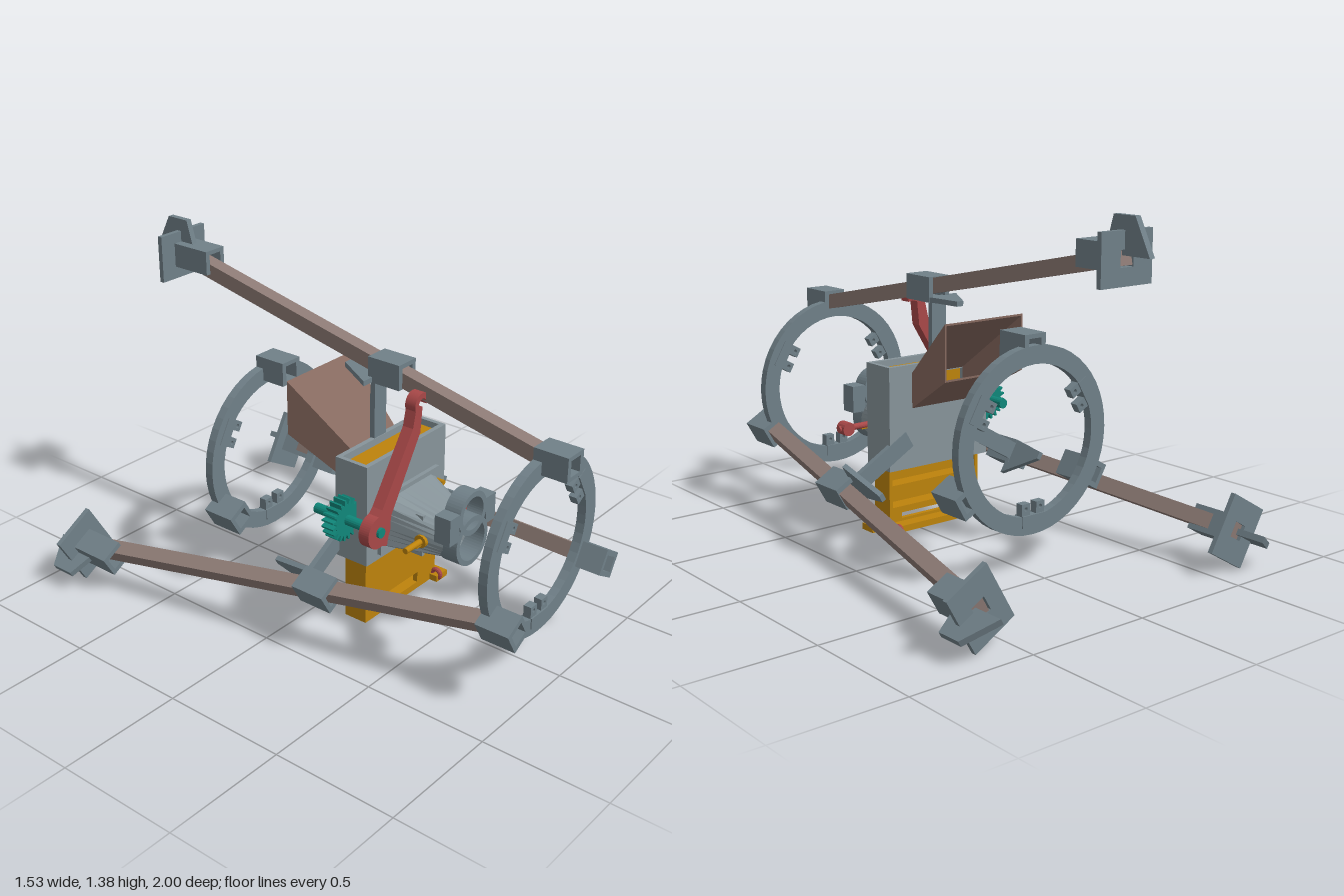
import * as THREE from 'three';

const AXIS = 0.515; // height of the central axis
const mat = (color) => new THREE.MeshStandardMaterial({ color, flatShading: true, side: THREE.DoubleSide });
const steel = mat(0x708088), panel = mat(0x87949a), wood = mat(0x8d7b75), brown = mat(0x86695f);
const red = mat(0xa84848), orange = mat(0xbd830c), green = mat(0x10877a);

function add(parent, name, geo, material) {
  const m = new THREE.Mesh(geo, material);
  m.name = name;
  parent.add(m);
  return m;
}

// Box given by its limits on each axis
function box(parent, name, material, x0, x1, y0, y1, z0, z1) {
  const m = add(parent, name, new THREE.BoxGeometry(x1 - x0, y1 - y0, z1 - z0), material);
  m.position.set((x0 + x1) / 2, (y0 + y1) / 2, (z0 + z1) / 2);
  return m;
}

const poly = (pts) => new THREE.Shape(pts.map(([x, y]) => new THREE.Vector2(x, y)));
const rect = (x0, x1, y0, y1) => poly([[x0, y0], [x1, y0], [x1, y1], [x0, y1]]);

// Shape in xy with holes, extruded from z0 to z1
function slab(parent, name, material, shape, holes, z0, z1) {
  shape.holes.push(...holes);
  const geo = new THREE.ExtrudeGeometry(shape, { depth: z1 - z0, bevelEnabled: false, curveSegments: 24 });
  geo.translate(0, 0, z0);
  return add(parent, name, geo, material);
}

const disc = (x, y, r) => new THREE.Shape().absarc(x, y, r, 0, Math.PI * 2, false);
const tube = (parent, name, material, x, y, rOut, rIn, z0, z1) =>
  slab(parent, name, material, disc(x, y, rOut), [disc(x, y, rIn)], z0, z1);

// Cylinder along one axis
function rod(parent, name, material, r, length, axis, x, y, z) {
  const geo = new THREE.CylinderGeometry(r, r, length, 16);
  if (axis === 'x') geo.rotateZ(Math.PI / 2);
  if (axis === 'z') geo.rotateX(Math.PI / 2);
  add(parent, name, geo, material).position.set(x, y, z);
}

// Open skin between two loops with equal point counts
function loft(parent, name, material, a, b) {
  const n = a.length, index = [];
  for (let i = 0; i < n; i++) {
    const j = (i + 1) % n;
    index.push(i, j, n + j, i, n + j, n + i);
  }
  const geo = new THREE.BufferGeometry().setFromPoints([...a, ...b].map((p) => new THREE.Vector3(...p)));
  geo.setIndex(index);
  geo.computeVertexNormals();
  add(parent, name, geo, material);
}

// Three copies around the central axis
function radial(parent, name, build, offset = 0) {
  for (let i = 0; i < 3; i++) {
    const g = new THREE.Group();
    g.name = name;
    g.position.y = AXIS;
    g.rotation.z = offset + (i * Math.PI * 2) / 3;
    build(g);
    parent.add(g);
  }
}

// Square sleeve around a leg
const sleeve = (g, name, r0, r1, z0, z1) =>
  slab(g, name, steel, rect(-0.05, 0.05, r0, r1),
    [rect(-0.03, 0.03, (r0 + r1) / 2 - 0.032, (r0 + r1) / 2 + 0.032)], z0, z1);

function leg(g) {
  // Sloping square rod
  const z0 = 0.93, z1 = -0.875, r0 = 0.34, r1 = 0.725;
  const bar = add(g, 'legRod', new THREE.BoxGeometry(0.06, 0.06, Math.hypot(z0 - z1, r1 - r0)), wood);
  bar.position.set(0, (r0 + r1) / 2, (z0 + z1) / 2);
  bar.rotation.x = Math.atan2(r1 - r0, z0 - z1);
  // Middle sleeve, strut to the body and triangular gusset
  sleeve(g, 'middleSleeve', 0.445, 0.545, 0.13, 0.275);
  box(g, 'strut', steel, -0.035, 0.035, 0.17, 0.46, 0.13, 0.152);
  const gusset = slab(g, 'gusset', steel, poly([[-0.1, 0.15], [0.05, 0.15], [0.03, -0.02], [0, -0.02]]), [], -0.467, -0.447);
  gusset.rotation.x = Math.PI / 2;
  // Foot: sleeve, plate and fin
  sleeve(g, 'footSleeve', 0.675, 0.772, -0.865, -0.69);
  slab(g, 'footPlate', steel, rect(-0.12, 0.12, 0.625, 0.815), [rect(-0.03, 0.03, 0.69, 0.75)], -0.885, -0.865);
  const fin = slab(g, 'footFin', steel, poly([[0.79, 0.73], [1, 0.73], [0.93, 0.865], [0.83, 0.865]]), [], -0.012, 0.012);
  fin.rotation.y = Math.PI / 2;
}

function ringFrame(parent, name, z) {
  const g = new THREE.Group();
  g.name = name;
  g.position.z = z;
  tube(g, 'ring', steel, 0, AXIS, 0.357, 0.288, 0, 0.036);
  radial(g, 'ringBlock', (b) => sleeve(b, 'ringSleeve', 0.303, 0.4, 0, 0.14));
  // Small forked clamps between the blocks
  radial(g, 'ringClamp', (c) => {
    box(c, 'clampBase', steel, -0.055, 0.055, 0.28, 0.325, -0.004, 0.04);
    for (const s of [-1, 1]) {
      slab(c, 'clampProng', steel, rect(s * 0.035 - 0.02, s * 0.035 + 0.02, 0.235, 0.285),
        [disc(s * 0.035, 0.255, 0.008)], 0.002, 0.034);
    }
  }, Math.PI / 3);
  parent.add(g);
}

function body(parent) {
  const g = new THREE.Group();
  g.name = 'body';
  // Shell, open at top
  slab(g, 'frontPanel', panel, rect(-0.245, 0.24, 0.31, 0.725), [], 0.265, 0.285);
  slab(g, 'backPanel', panel, rect(-0.245, 0.24, 0.31, 0.725), [rect(-0.125, 0.125, 0.56, 0.68)], 0.135, 0.155);
  box(g, 'rightWall', panel, -0.245, -0.227, 0.31, 0.725, 0.155, 0.265);
  box(g, 'leftWall', panel, 0.222, 0.24, 0.31, 0.725, 0.155, 0.265);
  box(g, 'innerTray', orange, -0.222, 0.22, 0.32, 0.70, 0.16, 0.26);
  // Nozzle narrowing from a rectangle to a tube
  slab(g, 'nozzleFlange', panel, rect(-0.18, 0.18, 0.335, 0.575), [rect(-0.15, 0.15, 0.36, 0.54)], 0.285, 0.302);
  const wide = [], narrow = [];
  for (let i = 0; i < 32; i++) {
    const a = ((i + 0.5) / 32) * Math.PI * 2, c = Math.cos(a), s = Math.sin(a), k = 1 / Math.max(Math.abs(c), Math.abs(s));
    wide.push([0.16 * c * k, 0.455 + 0.105 * s * k, 0.29]);
    narrow.push([0.1 * c, 0.425 + 0.085 * s, 0.53]);
  }
  loft(g, 'nozzle', panel, wide, narrow);
  // Double collar at the muzzle with side lugs
  tube(g, 'lowerCollar', steel, 0, 0.425, 0.1, 0.08, 0.51, 0.59);
  tube(g, 'upperCollar', steel, 0, 0.54, 0.088, 0.066, 0.52, 0.59);
  for (const s of [-1, 1]) {
    box(g, 'collarLug', steel, s * 0.115 - 0.03, s * 0.115 + 0.03, 0.46, 0.57, 0.52, 0.59);
    rod(g, 'flangePin', orange, 0.01, 0.05, 'z', s * 0.17, 0.515, 0.31);
    box(g, 'nozzleRib', panel, s * 0.1 - 0.008, s * 0.1 + 0.008, 0.35, 0.52, 0.29, 0.44);
  }
  // Side screws
  rod(g, 'rightScrew', orange, 0.012, 0.14, 'x', -0.15, 0.425, 0.445);
  rod(g, 'rightScrewHead', orange, 0.026, 0.03, 'x', -0.115, 0.425, 0.445);
  rod(g, 'leftScrew', red, 0.013, 0.17, 'x', 0.185, 0.425, 0.445);
  rod(g, 'leftScrewKnob', red, 0.028, 0.05, 'z', 0.235, 0.425, 0.445);
  box(g, 'latch', orange, -0.16, 0.16, 0.41, 0.425, 0.437, 0.453);
  // Rear hopper, flaring upward and back
  const mouth = (w, y0, y1, z) => [[-w, y0, z], [w, y0, z], [w, y1, z], [-w, y1, z]];
  loft(g, 'hopper', brown, mouth(0.13, 0.55, 0.69, 0.137), mouth(0.19, 0.71, 0.93, -0.148));
  loft(g, 'hopperLining', brown, mouth(0.122, 0.558, 0.682, 0.137), mouth(0.182, 0.718, 0.922, -0.148));
  loft(g, 'hopperRim', brown, mouth(0.19, 0.71, 0.93, -0.148), mouth(0.182, 0.718, 0.922, -0.148));
  parent.add(g);
}

function magazine(parent) {
  const g = new THREE.Group();
  g.name = 'magazine';
  slab(g, 'magazineFront', orange, rect(-0.225, 0.222, 0.042, 0.33), [rect(-0.11, 0.105, 0.07, 0.115)], 0.245, 0.265);
  for (const x of [-0.225, 0.207]) box(g, 'magazineSide', orange, x, x + 0.015, 0.042, 0.33, 0.165, 0.25);
  for (const y of [0.042, 0.13, 0.22]) box(g, 'magazineShelf', orange, -0.215, 0.215, y, y + 0.016, 0.18, 0.25);
  for (const y of [0.042, 0.125, 0.215, 0.305]) box(g, 'magazineRail', orange, -0.225, 0.222, y, y + 0.026, 0.165, 0.18);
  // Corner lug and pull eyelets
  box(g, 'cornerLug', orange, 0.19, 0.26, 0.042, 0.068, 0.23, 0.3);
  for (const z of [0.285, 0.125]) {
    const eye = add(g, 'eyelet', new THREE.TorusGeometry(0.019, 0.009, 8, 18), red);
    eye.rotation.y = Math.PI / 2;
    eye.position.set(0.208, 0.068, z);
  }
  rod(g, 'eyeletPin', red, 0.009, 0.12, 'z', 0.208, 0.068, 0.205);
  parent.add(g);
}

function drive(parent) {
  const g = new THREE.Group();
  g.name = 'drive';
  // Toothed wheel and shaft
  const teeth = [], n = 20;
  for (let i = 0; i < n; i++) {
    [[0, 0.064], [0.25, 0.084], [0.5, 0.084], [0.75, 0.064]].forEach(([f, r]) => {
      const a = ((i + f) / n) * Math.PI * 2;
      teeth.push([-0.297 + r * Math.cos(a), 0.515 + r * Math.sin(a)]);
    });
  }
  slab(g, 'gear', green, poly(teeth), [], 0.18, 0.235);
  rod(g, 'gearShaft', green, 0.02, 0.31, 'z', -0.295, 0.515, 0.24);
  // Crank lever with hooked end
  slab(g, 'lever', red, poly([[-0.33, 0.47], [-0.25, 0.44], [-0.225, 0.56], [-0.06, 0.83], [-0.05, 0.93],
    [-0.085, 0.945], [-0.105, 0.86], [-0.28, 0.6], [-0.33, 0.55]]), [], 0.338, 0.384);
  const hook = new THREE.Shape().absarc(-0.05, 0.94, 0.044, -0.2, Math.PI + 0.4, false);
  hook.absarc(-0.05, 0.94, 0.022, Math.PI + 0.4, -0.2, true);
  slab(g, 'leverHook', red, hook, [], 0.338, 0.384);
  slab(g, 'leverHub', red, disc(-0.295, 0.515, 0.065), [], 0.338, 0.384);
  parent.add(g);
}

export function createModel() {
  const model = new THREE.Group();
  model.name = 'tripodLauncher';
  radial(model, 'leg', leg);
  ringFrame(model, 'frontRing', 0.86);
  ringFrame(model, 'backRing', -0.435);
  body(model);
  magazine(model);
  drive(model);
  return model;
}
